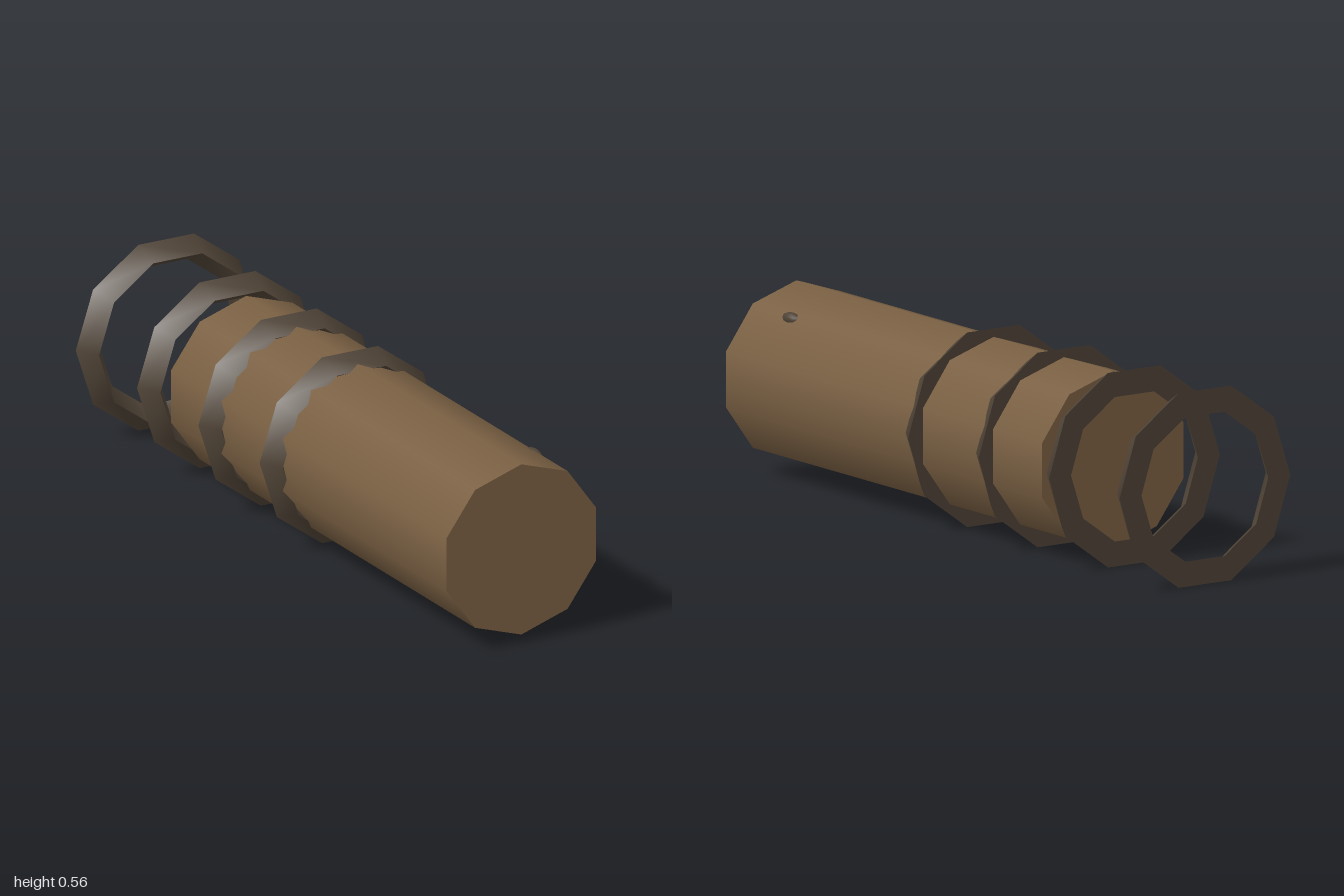
import * as THREE from 'three';
import { toCreasedNormals } from 'three/addons/utils/BufferGeometryUtils.js';

const SIDES = 10;
const LOG_RADIUS = 0.257;
const AXIS_Y = 0.281;

export function createModel() {
  const wood = new THREE.MeshStandardMaterial({ name: 'wood brown', color: 0x7a6043 });
  const bark = new THREE.MeshStandardMaterial({ name: 'dark bark', color: 0x4f4336 });

  const model = new THREE.Group();
  model.name = 'bandedLog';

  const add = (name, geometry, material, x, y, z) => {
    const mesh = new THREE.Mesh(geometry, material);
    mesh.name = name;
    mesh.position.set(x, y, z);
    model.add(mesh);
    return mesh;
  };

  // Ten-sided log lying along z, with an edge at the top
  const logGeometry = new THREE.CylinderGeometry(LOG_RADIUS, LOG_RADIUS, 1.55, SIDES);
  logGeometry.rotateX(Math.PI / 2);
  add('log', logGeometry, wood, 0, AXIS_Y, 0.225);

  // Bands with a triangular section: flat back, tip toward the front
  const section = [[0.295, 0], [LOG_RADIUS, 0.066], [0.219, 0], [0.295, 0]]
    .map(([r, h]) => new THREE.Vector2(r, h));
  const lathe = new THREE.LatheGeometry(section, SIDES, Math.PI / 2);
  lathe.rotateX(Math.PI / 2);
  const bandGeometry = toCreasedNormals(lathe, Math.PI / 4);
  for (let i = 0; i < 4; i++) {
    add(`band${i + 1}`, bandGeometry, bark, 0, AXIS_Y, -1 + i * 0.345);
  }

  // Small knot sunk into the upper edge of the log
  const angle = THREE.MathUtils.degToRad(52.5);
  const depth = LOG_RADIUS - 0.01;
  const knot = add('knot', new THREE.SphereGeometry(1, 10, 8), bark,
    Math.cos(angle) * depth, AXIS_Y + Math.sin(angle) * depth, 0.81);
  knot.scale.set(0.018, 0.018, 0.04);

  return model;
}
